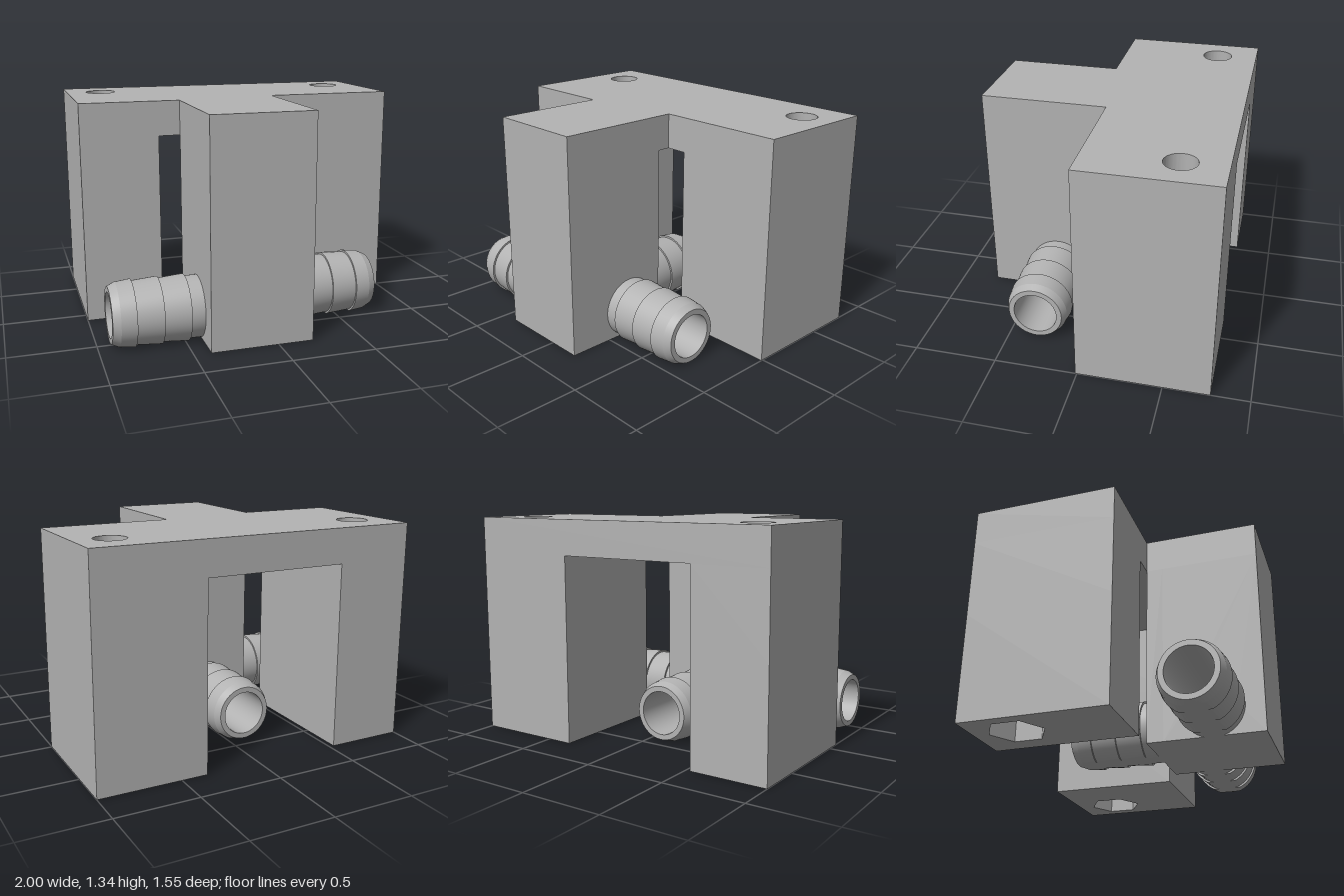
import * as THREE from 'three';
import { toCreasedNormals } from 'three/addons/utils/BufferGeometryUtils.js';

const TOP = 1.335, ROOF = 1.125, BACK = -0.775, FRONT = 0.775;
const X0 = -0.4, X1 = 0.21, MID = -0.095;   // sides and middle of the central block
const PORT_Y = 0.175, BORE = 0.133, BOLT_Z = -0.52;

const poly = (pts, Type = THREE.Shape) => new Type(pts.map(([x, y]) => new THREE.Vector2(x, y)));
const rect = (a, b, c, d) => poly([[a, b], [c, b], [c, d], [a, d]]);
const circle = (x, y, r) => new THREE.Path().absarc(x, y, r, 0, Math.PI * 2, true);
const hexagon = (x, y, r) => poly(Array.from({ length: 6 }, (_, i) => {
  const a = Math.PI / 2 - i * Math.PI / 3;
  return [x + r * Math.cos(a), y + r * Math.sin(a)];
}), THREE.Path);

function extrude(shape, depth, holes = []) {
  shape.holes.push(...holes);
  return new THREE.ExtrudeGeometry(shape, { depth, bevelEnabled: false, curveSegments: 40 });
}

export function createModel() {
  const group = new THREE.Group();
  const gray = new THREE.MeshStandardMaterial({ color: 0xb3b3b3 });
  gray.name = 'plain gray';

  const add = (name, geometry) => {
    const mesh = new THREE.Mesh(toCreasedNormals(geometry, 0.3), gray);
    mesh.name = name;
    group.add(mesh);
  };
  // Plan shapes use (x, -z) and rise from y0 to y1
  const addLayer = (name, shape, y0, y1, holes) =>
    add(name, extrude(shape, y1 - y0, holes).rotateX(-Math.PI / 2).translate(0, y0, 0));

  // T-shaped top plate with two bolt holes
  const bolt = (x) => circle(x, -BOLT_Z, 0.093);
  addLayer('topPlate', poly([
    [-1, -BACK], [-1, -0.09], [X0, -0.09], [X0, -FRONT],
    [X1, -FRONT], [X1, -0.01], [1, -0.01], [1, -BACK],
  ]), ROOF, TOP, [bolt(-0.787), bolt(0.787)]);

  // Legs: hexagonal nut pocket below, round bolt hole above
  const pocketTop = 0.65;
  for (const [name, a, b, front, x] of [
    ['leftLeg', 0.34, 1, 0.01, 0.787],
    ['rightLeg', -1, -0.53, 0.09, -0.787],
  ]) {
    const plan = () => rect(a, -front, b, -BACK);
    addLayer(name + 'Lower', plan(), 0, pocketTop, [hexagon(x, -BOLT_Z, 0.165)]);
    addLayer(name + 'Upper', plan(), pocketTop, ROOF, [bolt(x)]);
  }

  // Central block: a back slab bored along z, two halves bored along x
  const slabZ = 0.19;
  add('blockBack', extrude(rect(X0, 0, X1, ROOF), slabZ - 0.09, [circle(MID, PORT_Y, BORE)])
    .translate(0, 0, 0.09));
  for (const [name, a, b, z] of [['blockRight', X0, MID, 0.48], ['blockLeft', MID, X1, 0.33]]) {
    add(name, extrude(rect(-FRONT, 0, -slabZ, ROOF), b - a, [circle(-z, PORT_Y, BORE)])
      .rotateY(Math.PI / 2).translate(a, 0, 0));
  }

  // Barbed hose fittings, trimmed flat at ground level
  const profile = [
    [BORE, 0.525], [BORE, 0], [0.183, 0], [0.183, 0.08],
    [0.196, 0.08], [0.184, 0.235], [0.196, 0.235], [0.184, 0.39],
    [0.196, 0.39], [0.186, 0.48], [0.165, 0.525], [BORE, 0.525],
  ].map(([r, y]) => new THREE.Vector2(r, y));
  const addBarb = (name, rx, rz, x, z) => {
    const g = new THREE.LatheGeometry(profile, 64).rotateX(rx).rotateZ(rz).translate(x, PORT_Y, z);
    const p = g.attributes.position;
    for (let i = 0; i < p.count; i++) p.setY(i, Math.max(0, p.getY(i)));
    add(name, g);
  };
  addBarb('leftHoseBarb', 0, -Math.PI / 2, X1, 0.33);
  addBarb('rightHoseBarb', 0, Math.PI / 2, X0, 0.48);
  addBarb('backHoseBarb', -Math.PI / 2, 0, MID, 0.09);

  return group;
}
